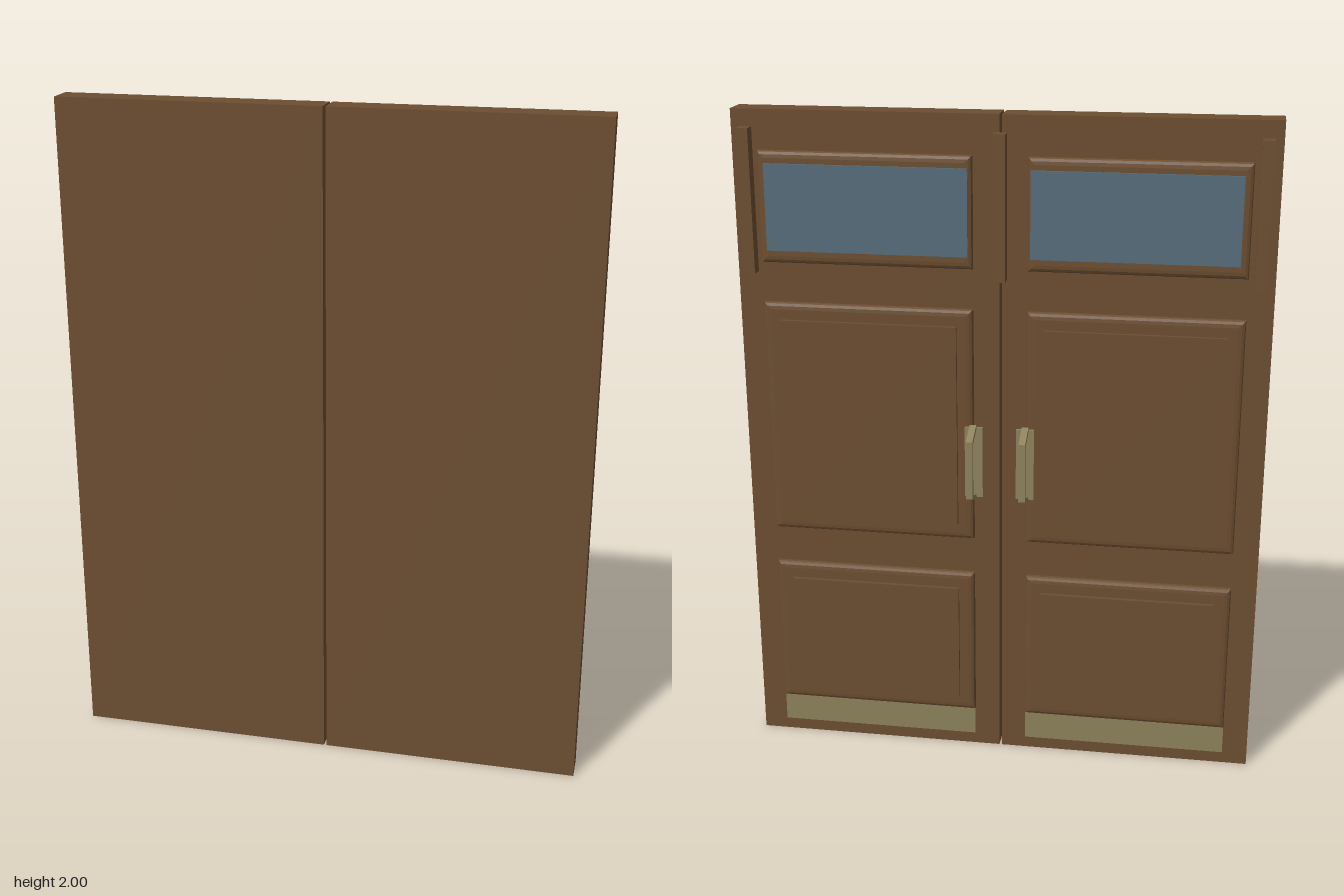
import * as THREE from 'three';

const wood = new THREE.MeshStandardMaterial({ color: 0x6d4e31 });
const brass = new THREE.MeshStandardMaterial({ color: 0x8d835c });
const glass = new THREE.MeshStandardMaterial({ color: 0x566d7a });

const BACK = 0.008; // rear face of the door slabs, where all the fittings sit

function add(parent, name, geometry, material) {
  const mesh = new THREE.Mesh(geometry, material);
  mesh.name = name;
  parent.add(mesh);
  return mesh;
}

// Box given by its limits on each axis
function block(parent, name, material, [x0, x1], [y0, y1], [z0, z1]) {
  const mesh = add(parent, name, new THREE.BoxGeometry(x1 - x0, y1 - y0, z1 - z0), material);
  mesh.position.set((x0 + x1) / 2, (y0 + y1) / 2, (z0 + z1) / 2);
  return mesh;
}

// Rectangular moulding with a rounded front edge, its rear buried in the slab
function moulding(parent, name, [x0, x1], [y0, y1]) {
  const r = 0.02, t = 0.01;
  const w = (x1 - x0) / 2 - r, h = (y1 - y0) / 2 - r;
  const shape = new THREE.Shape([
    new THREE.Vector2(-w, -h), new THREE.Vector2(w, -h),
    new THREE.Vector2(w, h), new THREE.Vector2(-w, h),
  ]);
  const geometry = new THREE.ExtrudeGeometry(shape, {
    depth: 0.022, bevelEnabled: true, bevelSize: r, bevelThickness: t, bevelSegments: 3,
  });
  add(parent, name, geometry, wood).position.set((x0 + x1) / 2, (y0 + y1) / 2, -0.002);
}

// Angular pull bar: a flat bracket outline given depth along x
function pullGeometry() {
  const outer = [[0, 0.86], [0.07, 0.885], [0.07, 1.065], [0, 1.095]];
  const inner = [[0, 1.08], [0.058, 1.056], [0.058, 0.894], [0, 0.875]];
  const shape = new THREE.Shape([...outer, ...inner].map(([u, v]) => new THREE.Vector2(u, v)));
  const geometry = new THREE.ExtrudeGeometry(shape, { depth: 0.02, bevelEnabled: false });
  geometry.translate(0, 0, -0.01);
  return geometry.rotateY(Math.PI / 2);
}

function buildDoor(side) {
  const door = new THREE.Group();
  door.name = side > 0 ? 'leftDoor' : 'rightDoor';
  const span = (a, b) => (side > 0 ? [a, b] : [-b, -a]);

  block(door, 'doorSlab', wood, span(0.004, 0.78), [0, 2], [BACK, 0.095]);

  // Window and two panels: moulding plus a raised field
  const panels = [['window', 1.56, 1.885], ['upperPanel', 0.72, 1.44], ['lowerPanel', 0.13, 0.605]];
  for (const [name, y0, y1] of panels) {
    moulding(door, name + 'Moulding', span(0.08, 0.704), [y0, y1]);
    block(door, name + 'Field', wood, span(0.127, 0.655), [y0 + 0.05, y1 - 0.05], [-0.024, BACK]);
  }
  block(door, 'windowPane', glass, span(0.09, 0.68), [1.6, 1.852], [-0.03, -0.023]);

  // Metal fittings
  block(door, 'kickPlate', brass, span(0.08, 0.704), [0.04, 0.13], [0, BACK]);
  block(door, 'handlePlate', brass, span(0.05, 0.104), [0.865, 1.085], [-0.021, -0.011]);
  add(door, 'pullHandle', pullGeometry(), brass).position.set(side * 0.078, 0, -0.021 - 0.004);

  // Upright strip at the outer edge
  block(door, 'sideStrip', wood, span(0.72, 0.755), [1.53, 1.95], [-0.03, BACK]);
  return door;
}

export function createModel() {
  const model = new THREE.Group();
  model.name = 'doubleDoor';
  for (const side of [1, -1]) model.add(buildDoor(side));
  // Upright strip covering the seam
  block(model, 'centreStrip', wood, [-0.018, 0.018], [1.53, 1.95], [-0.03, BACK]);
  return model;
}
